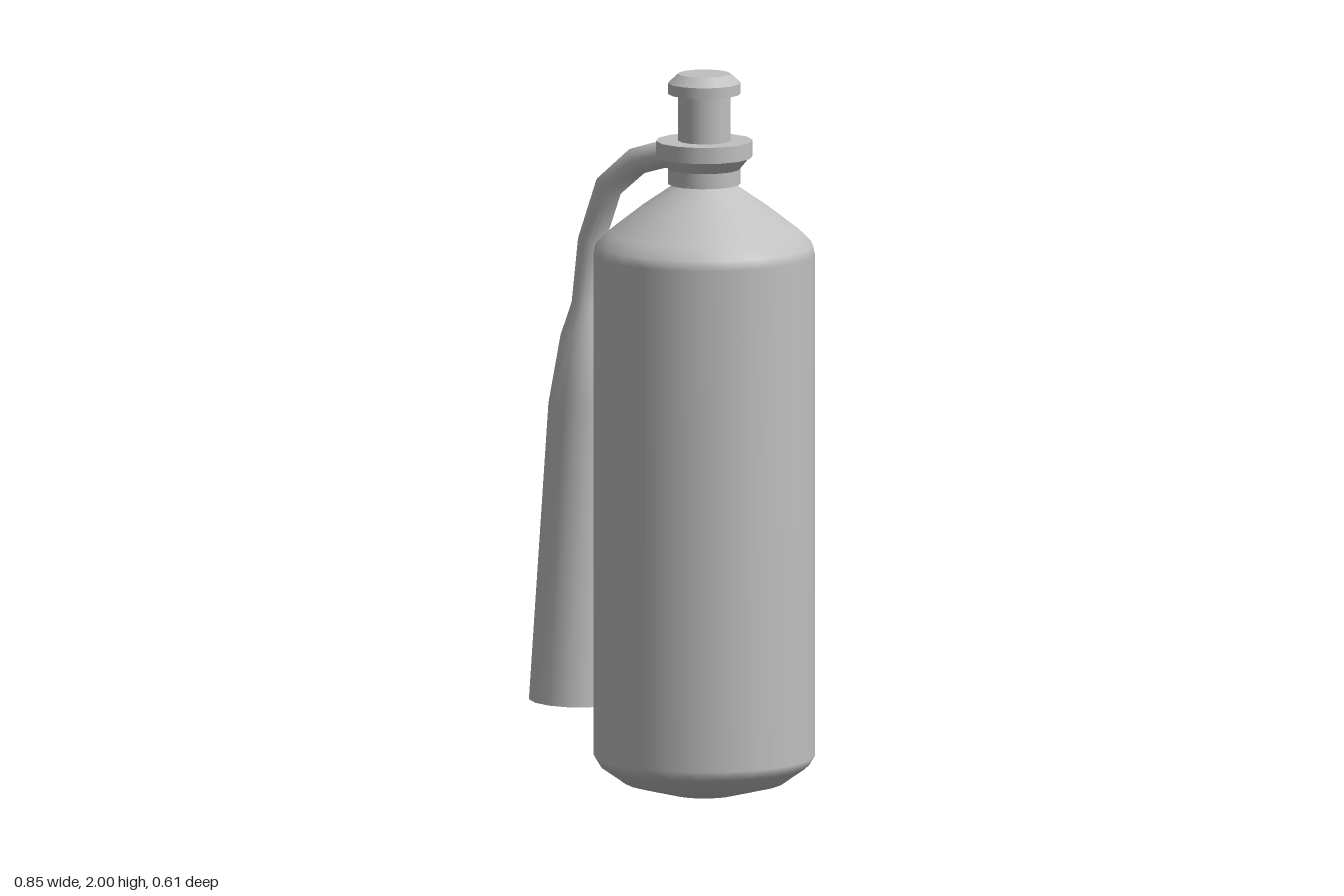
import * as THREE from 'three';
import { mergeGeometries } from 'three/addons/utils/BufferGeometryUtils.js';

const grey = new THREE.MeshStandardMaterial({ color: 0xc0c0c0 });
grey.name = 'grey';

const AXIS_X = 0.12; // the bottle stands to one side of the hose

function lathe(points, sides) {
  return new THREE.LatheGeometry(points.map(([r, y]) => new THREE.Vector2(r, y)), sides);
}

// Turned part whose every profile corner is a hard edge
function hardLathe(points, sides) {
  const bands = [];
  for (let i = 0; i < points.length - 1; i++) bands.push(lathe([points[i], points[i + 1]], sides));
  return mergeGeometries(bands);
}

// Round loft through [x, y, radius] sections lying in the z = 0 plane
function loft(sections, sides) {
  const positions = [], index = [];
  const last = sections.length - 1;
  sections.forEach(([x, y, r], i) => {
    const a = sections[Math.max(i - 1, 0)], b = sections[Math.min(i + 1, last)];
    const dir = new THREE.Vector2(b[0] - a[0], b[1] - a[1]).normalize();
    for (let j = 0; j < sides; j++) {
      const t = (j / sides) * Math.PI * 2;
      const s = Math.sin(t) * r;
      positions.push(x - dir.y * s, y + dir.x * s, Math.cos(t) * r);
    }
  });
  for (let i = 0; i < last; i++) {
    for (let j = 0; j < sides; j++) {
      const k = (j + 1) % sides;
      const a = i * sides + j, b = i * sides + k, c = a + sides, d = b + sides;
      index.push(a, c, b, b, c, d);
    }
  }
  const geometry = new THREE.BufferGeometry();
  geometry.setAttribute('position', new THREE.Float32BufferAttribute(positions, 3));
  geometry.setIndex(index);
  geometry.computeVertexNormals();
  return geometry;
}

export function createModel() {
  const model = new THREE.Group();
  model.name = 'fireExtinguisher';
  const add = (name, geometry, x = 0, y = 0) => {
    const mesh = new THREE.Mesh(geometry, grey);
    mesh.name = name;
    mesh.position.set(x, y, 0);
    model.add(mesh);
    return mesh;
  };

  // Bottle with rounded base and sloping shoulder
  add('bottle', lathe([
    [0, 0], [0.09, 0.003], [0.22, 0.036], [0.287, 0.083], [0.304, 0.11],
    [0.304, 1.5], [0.298, 1.527], [0.265, 1.56], [0.175, 1.63], [0.08, 1.695],
  ], 24), AXIS_X);

  // Neck and flared collar
  add('collar', hardLathe([
    [0, 1.695], [0.1, 1.695], [0.1, 1.737], [0.128, 1.77],
    [0.133, 1.77], [0.133, 1.815], [0, 1.815],
  ], 14), AXIS_X);

  // Push knob: stem and chamfered cap
  add('stem', hardLathe([[0.072, 1.81], [0.072, 1.95]], 14), AXIS_X);
  add('knobCap', hardLathe([
    [0, 1.945], [0.1, 1.945], [0.1, 1.975], [0.072, 2], [0, 2],
  ], 14), AXIS_X);

  // Hose widening into the discharge horn
  const horn = [-0.308, 0.225, 0.122];
  add('hoseAndHorn', loft([
    [0.06, 1.768, 0.039], [-0.01, 1.766, 0.039], [-0.1, 1.738, 0.039],
    [-0.192, 1.66, 0.039], [-0.248, 1.505, 0.038], [-0.268, 1.33, 0.038],
    [-0.271, 1.24, 0.066], [-0.281, 1.05, 0.091], horn,
  ], 14));

  // Closed horn mouth, tilted with the horn
  const mouth = add('hornMouth', new THREE.CircleGeometry(horn[2], 14, Math.PI / 2), horn[0], horn[1]);
  mouth.rotation.set(Math.PI / 2, -0.033, 0, 'ZYX');
  mouth.rotation.set(Math.PI / 2, 0, -0.033, 'ZYX');

  return model;
}
